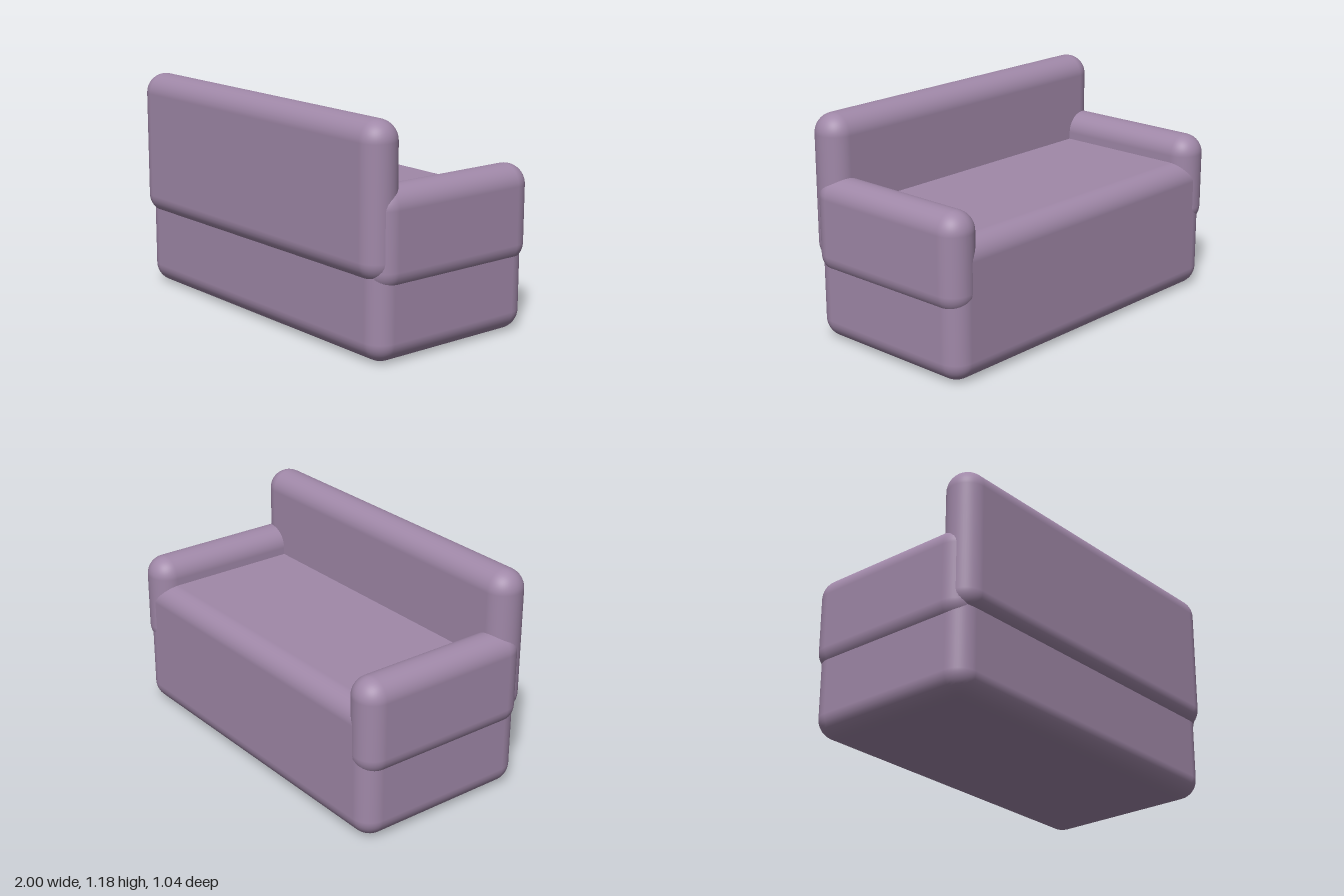
import * as THREE from 'three';
import { RoundedBoxGeometry } from 'three/addons/geometries/RoundedBoxGeometry.js';

export function createModel() {
  const sofa = new THREE.Group();
  sofa.name = 'sofa';
  const fabric = new THREE.MeshStandardMaterial({ color: 0xa088a8 });
  const radius = 0.105;

  // Soft padded block given by its lower and upper corners
  function cushion(name, min, max) {
    const size = max.map((v, i) => v - min[i]);
    const mesh = new THREE.Mesh(new RoundedBoxGeometry(...size, 5, radius), fabric);
    mesh.position.set(...max.map((v, i) => (v + min[i]) / 2));
    mesh.name = name;
    sofa.add(mesh);
  }

  // Seat block and backrest
  cushion('seatBase', [-0.98, 0, -0.514], [0.98, 0.717, 0.482]);
  cushion('backrest', [-0.98, 0.4, 0.308], [0.98, 1.178, 0.518]);

  // Armrests, slightly wider than the base
  cushion('leftArmrest', [0.788, 0.352, -0.518], [1, 0.86, 0.477]);
  cushion('rightArmrest', [-1, 0.352, -0.518], [-0.788, 0.86, 0.477]);

  return sofa;
}
